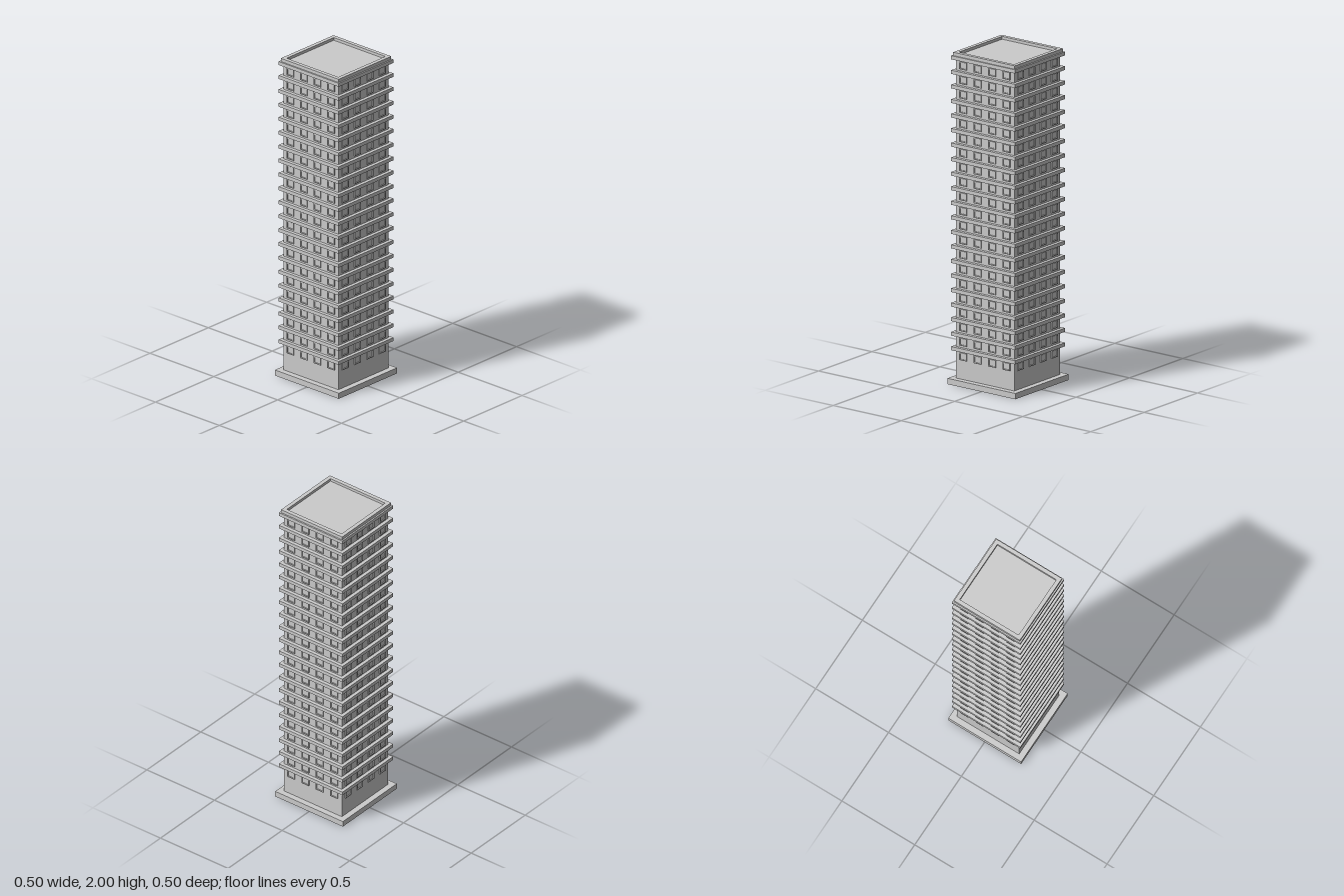
import * as THREE from 'three';

const FLOORS = 21;
const FLOOR_H = 0.0877;
const FIRST_LEDGE = 0.215;
const BODY = 0.214; // half width of the tower shaft

export function createModel() {
  const tower = new THREE.Group();
  tower.name = 'towerBlock';
  const mat = new THREE.MeshStandardMaterial({ color: 0xcccccc, flatShading: true });

  const add = (parent, name, geometry, x, y, z) => {
    const mesh = new THREE.Mesh(geometry, mat);
    mesh.name = name;
    mesh.position.set(x, y, z);
    parent.add(mesh);
    return mesh;
  };

  // Square slab given by half width, bottom and top
  const slab = (name, half, y0, y1) =>
    add(tower, name, new THREE.BoxGeometry(half * 2, y1 - y0, half * 2), 0, (y0 + y1) / 2, 0);

  // Rectangular outline with a rectangular hole
  const rectFrame = (w, h, border, depth) => {
    const corners = (a, b) => [[-a, -b], [a, -b], [a, b], [-a, b]].map(([x, y]) => new THREE.Vector2(x, y));
    const shape = new THREE.Shape(corners(w / 2, h / 2));
    shape.holes.push(new THREE.Path(corners(w / 2 - border, h / 2 - border).reverse()));
    return new THREE.ExtrudeGeometry(shape, { depth, bevelEnabled: false });
  };

  // Plinth, shaft and roof
  slab('plinth', 0.25, 0, 0.035);
  slab('shaft', BODY, 0.035, 1.96);
  slab('roof', 0.224, 1.96, 1.983);

  // Parapet around the recessed roof
  const parapet = rectFrame(0.452, 0.452, 0.024, 0.04).rotateX(-Math.PI / 2);
  add(tower, 'parapet', parapet, 0, 1.96, 0);

  // Ledge above every floor
  for (let i = 0; i < FLOORS; i++) {
    const y = FIRST_LEDGE + i * FLOOR_H;
    slab('ledge', 0.235, y - 0.011, y + 0.011);
  }

  // Four framed windows per floor on each facade
  const frameGeo = rectFrame(0.054, 0.045, 0.006, 0.008);
  const paneGeo = new THREE.BoxGeometry(0.044, 0.035, 0.004);
  for (let side = 0; side < 4; side++) {
    const facade = new THREE.Group();
    facade.name = 'facadeWindows';
    facade.rotation.y = side * Math.PI / 2;
    for (let i = 0; i < FLOORS; i++) {
      const y = FIRST_LEDGE - 0.042 + i * FLOOR_H;
      for (let k = 0; k < 4; k++) {
        const x = (k - 1.5) * 0.106;
        add(facade, 'windowFrame', frameGeo, x, y, BODY - 0.001);
        add(facade, 'windowPane', paneGeo, x, y, BODY);
      }
    }
    tower.add(facade);
  }
  return tower;
}
